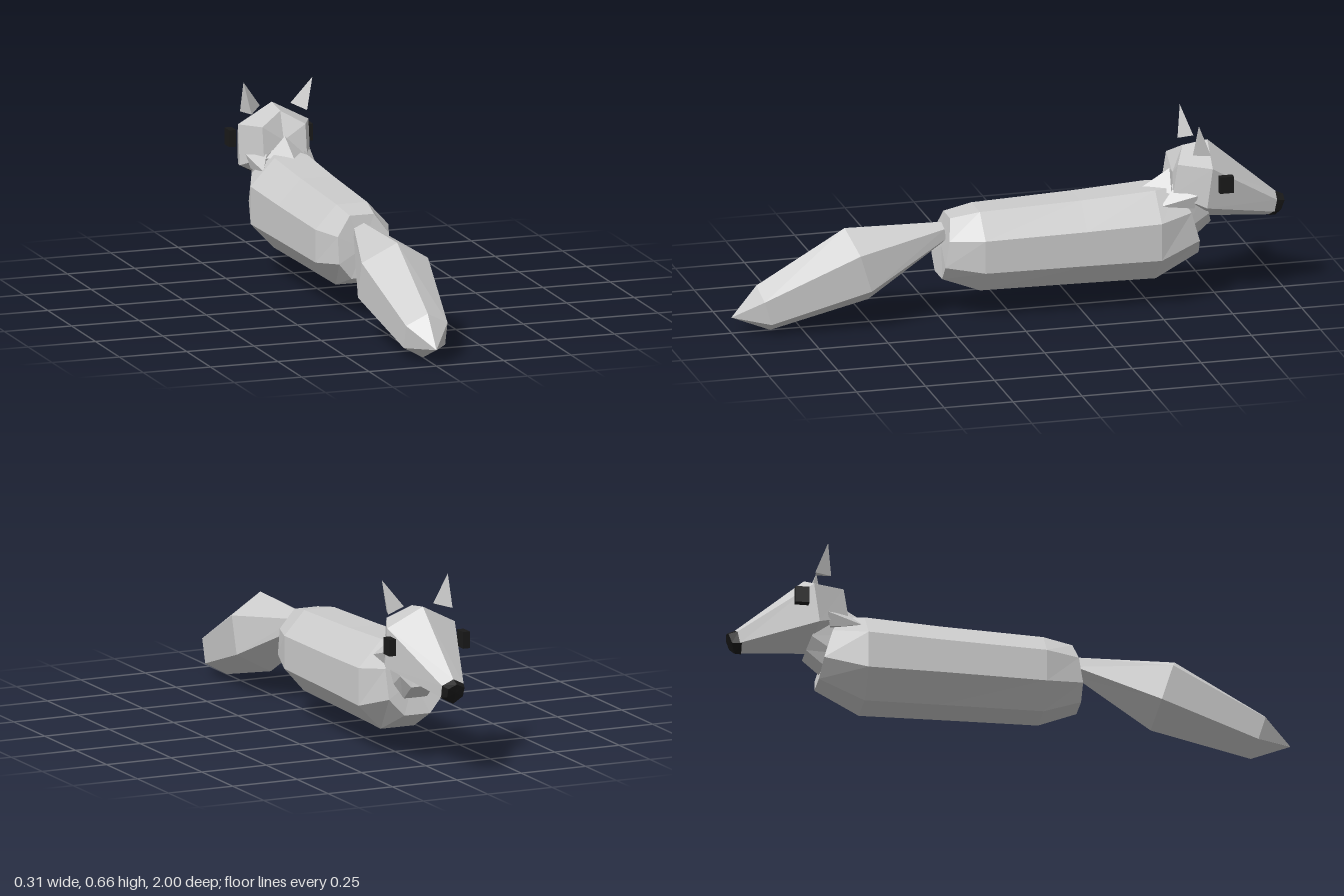
import * as THREE from 'three';
import { ConvexGeometry } from 'three/addons/geometries/ConvexGeometry.js';

const grey = new THREE.MeshStandardMaterial({ color: 0xcccccc, flatShading: true });
const black = new THREE.MeshStandardMaterial({ color: 0x1a1a1a, flatShading: true });

// Mirrors a half cross-section (top to bottom, x >= 0) into a closed ring.
function ring(half) {
  const pts = half.map((p) => new THREE.Vector3(...p));
  const other = pts.filter((p) => p.x > 0).reverse().map((p) => new THREE.Vector3(-p.x, p.y, p.z));
  return [...pts, ...other];
}

// Skins capped half cross-sections ordered from +z to -z.
function loft(halves) {
  const rings = halves.map(ring);
  const n = rings[0].length;
  const pos = [];
  const tri = (...v) => v.forEach((p) => pos.push(p.x, p.y, p.z));
  const centre = (r) => r.reduce((s, p) => s.add(p), new THREE.Vector3()).divideScalar(n);
  const first = rings[0], last = rings[rings.length - 1];
  const c0 = centre(first), c1 = centre(last);
  for (let i = 0; i < n; i++) {
    const j = (i + 1) % n;
    for (let k = 0; k + 1 < rings.length; k++) {
      const a = rings[k], b = rings[k + 1];
      tri(a[i], a[j], b[i]);
      tri(a[j], b[j], b[i]);
    }
    tri(c0, first[j], first[i]);
    tri(c1, last[i], last[j]);
  }
  const geo = new THREE.BufferGeometry();
  geo.setAttribute('position', new THREE.Float32BufferAttribute(pos, 3));
  geo.computeVertexNormals();
  return geo;
}

// Faceted solid around a few corners, x flipped by side.
function solid(corners, side = 1) {
  return new ConvexGeometry(corners.map(([x, y, z]) => new THREE.Vector3(x * side, y, z)));
}

export function createModel() {
  const model = new THREE.Group();
  const add = (name, geo, mat = grey) => {
    const mesh = new THREE.Mesh(geo, mat);
    mesh.name = name;
    model.add(mesh);
    return mesh;
  };

  // Bushy hexagonal tail, tip first
  add('tail', loft([
    [[0, 0.058, 1], [0.001, 0.058, 1], [0.001, 0.057, 1], [0, 0.057, 1]],
    [[0, 0.168, 0.91], [0.077, 0.128, 0.9], [0.077, 0.043, 0.875], [0, 0, 0.86]],
    [[0, 0.352, 0.59], [0.123, 0.283, 0.565], [0.123, 0.15, 0.525], [0, 0.083, 0.505]],
    [[0, 0.345, 0.24], [0.035, 0.328, 0.237], [0.035, 0.292, 0.232], [0, 0.272, 0.23]],
  ]));

  // Eight-sided body with tapered ends
  add('body', loft([
    [[0.045, 0.37, 0.22], [0.095, 0.3, 0.235], [0.095, 0.205, 0.25], [0.05, 0.15, 0.25]],
    [[0.057, 0.388, 0.115], [0.135, 0.303, 0.115], [0.135, 0.185, 0.115], [0.06, 0.1, 0.115]],
    [[0.06, 0.4, -0.25], [0.145, 0.31, -0.25], [0.145, 0.185, -0.25], [0.063, 0.096, -0.25]],
    [[0.062, 0.414, -0.52], [0.151, 0.318, -0.52], [0.151, 0.183, -0.52], [0.065, 0.092, -0.52]],
    [[0.04, 0.415, -0.6], [0.105, 0.335, -0.64], [0.105, 0.23, -0.67], [0.05, 0.17, -0.68]],
  ]));

  // Short neck between body and head
  add('neck', loft([
    [[0.05, 0.4, -0.55], [0.09, 0.33, -0.58], [0.08, 0.26, -0.62], [0.045, 0.22, -0.655]],
    [[0.05, 0.46, -0.64], [0.09, 0.38, -0.68], [0.08, 0.32, -0.71], [0.045, 0.28, -0.725]],
  ]));

  // Head narrowing to the muzzle
  add('head', loft([
    [[0, 0.553, -0.635], [0.08, 0.508, -0.597], [0.08, 0.4, -0.58], [0, 0.36, -0.6]],
    [[0, 0.566, -0.725], [0.131, 0.498, -0.71], [0.131, 0.355, -0.69], [0, 0.287, -0.715]],
    [[0, 0.355, -0.972], [0.042, 0.335, -0.967], [0.042, 0.292, -0.958], [0, 0.27, -0.952]],
  ]));

  // Nose cap
  add('nose', loft([
    [[0, 0.357, -0.968], [0.043, 0.336, -0.963], [0.043, 0.291, -0.952], [0, 0.267, -0.948]],
    [[0, 0.342, -1], [0.031, 0.328, -0.997], [0.031, 0.295, -0.985], [0, 0.268, -0.972]],
  ]), black);

  // Ruff: one spike on the nape and one on each cheek
  add('napeSpike', solid([[0, 0.472, -0.588], [0, 0.412, -0.49],
    [0.075, 0.4, -0.575], [-0.075, 0.4, -0.575], [0, 0.4, -0.64]]));

  for (const [side, label] of [[1, 'left'], [-1, 'right']]) {
    add(label + 'CheekSpike', solid([[0.1, 0.365, -0.53], [0.07, 0.415, -0.58],
      [0.12, 0.4, -0.66], [0.105, 0.35, -0.65], [0.05, 0.36, -0.64]], side));
    add(label + 'Ear', solid([[0.128, 0.66, -0.66], [0.125, 0.545, -0.705],
      [0.057, 0.565, -0.69], [0.103, 0.545, -0.645]], side));
    add(label + 'Eye', new THREE.BoxGeometry(0.026, 0.06, 0.05), black)
      .position.set(side * 0.143, 0.443, -0.755);
  }
  return model;
}
